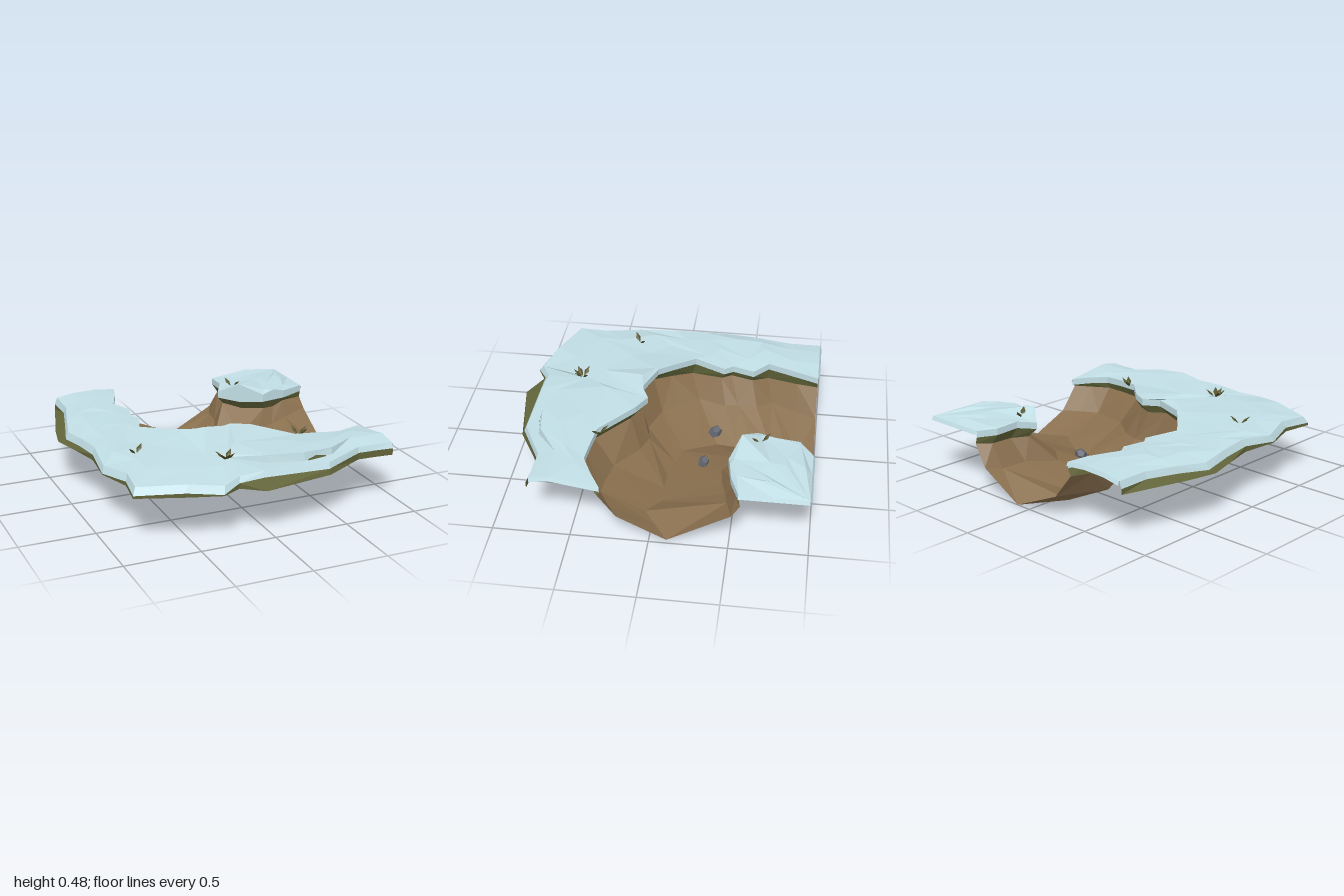
import * as THREE from 'three';

const mat = (name, color) => new THREE.MeshStandardMaterial({ name, color, flatShading: true, side: THREE.DoubleSide });
const snow = mat('snow', 0xc0dde4);
const grass = mat('grass', 0x62653a);
const dirt = mat('dirt', 0x886e4d);
const stone = mat('stone', 0x62666f);
const leafMat = mat('leaf', 0x55522b);

// Points are [x, y, z]
const mix = (a, b, t) => a.map((v, i) => v + (b[i] - v) * t);
const lift = (p, y) => [p[0], y, p[2]];

// Faceted sheet through rows of points, with alternating diagonals
function sheet(name, material, rows) {
  const pos = [];
  for (let r = 0; r < rows.length - 1; r++) {
    for (let i = 0; i < rows[r].length - 1; i++) {
      const a = rows[r][i], b = rows[r][i + 1], c = rows[r + 1][i + 1], d = rows[r + 1][i];
      const tris = (r + i) % 2 ? [a, b, c, a, c, d] : [a, b, d, b, c, d];
      tris.forEach((p) => pos.push(...p));
    }
  }
  const g = new THREE.BufferGeometry();
  g.setAttribute('position', new THREE.Float32BufferAttribute(pos, 3));
  g.computeVertexNormals();
  const m = new THREE.Mesh(g, material);
  m.name = name;
  return m;
}

// Outer and inner edges of the bank, paired station by station
const outer = [
  [-0.8, 0.4, -0.988], [-0.8, 0.4, -0.77], [-0.86, 0.39, -0.55], [-0.92, 0.37, -0.34], [-0.89, 0.39, -0.13],
  [-0.87, 0.4, 0.08], [-0.895, 0.37, 0.34], [-0.82, 0.39, 0.57], [-0.85, 0.38, 0.78], [-0.55, 0.39, 0.89],
  [-0.33, 0.37, 0.96], [-0.2, 0.39, 0.89], [-0.03, 0.4, 0.89], [0.42, 0.39, 0.9], [0.71, 0.4, 0.755],
  [0.84, 0.4, 0.76], [0.958, 0.4, 0.77]];
const inner = [
  [-0.35, 0.41, -0.988], [-0.39, 0.42, -0.85], [-0.47, 0.42, -0.645], [-0.39, 0.4, -0.545], [-0.43, 0.405, -0.4],
  [-0.39, 0.405, -0.34], [-0.47, 0.42, -0.13], [-0.36, 0.435, 0], [-0.26, 0.45, 0.105], [-0.035, 0.455, 0.185],
  [0.08, 0.45, 0.13], [0.2, 0.45, 0.195], [0.425, 0.42, 0.41], [0.58, 0.415, 0.43], [0.725, 0.405, 0.445],
  [0.85, 0.39, 0.38], [0.958, 0.37, 0.31]];
// Height where the bank's grass meets the dirt
const grassLine = [0.32, 0.31, 0.29, 0.31, 0.315, 0.315, 0.285, 0.32, 0.345, 0.36, 0.35, 0.345, 0.32, 0.32, 0.32, 0.315, 0.315];

// Foot of the bank, foot and rim of the corner mound
const toe = [
  [0.11, 0, -1], [-0.13, 0.035, -0.78], [-0.025, 0, -0.6], [-0.055, 0, -0.33], [0.07, 0.02, -0.11],
  [0.32, 0, -0.03], [0.6, 0, -0.03], [0.75, 0.035, 0.055], [0.97, 0, -0.11]];
const moundFoot = [
  [0.42, 0.17, -1], [0.37, 0.15, -0.89], [0.34, 0.16, -0.72], [0.25, 0.13, -0.51], [0.39, 0.13, -0.4],
  [0.55, 0.15, -0.42], [0.68, 0.17, -0.45], [0.8, 0.2, -0.47], [0.97, 0.235, -0.51]];
const moundRim = [
  [0.505, 0.4, -0.988], [0.4, 0.42, -0.9], [0.39, 0.43, -0.74], [0.325, 0.41, -0.625], [0.45, 0.48, -0.53],
  [0.61, 0.4, -0.46], [0.7, 0.425, -0.475], [0.79, 0.4, -0.49], [0.958, 0.4, -0.55]];

// Narrow bevel dropping from a cut snow edge out to the tile border
function borderBevel(name, top, dx, dz) {
  return sheet(name, snow, [top, top.map(([x, y, z]) => [x + dx, y - 0.025, z + dz])]);
}

function buildBank(group) {
  const last = outer.length - 1;
  const rimTop = outer.map((p, i) => mix(p, lift(inner[i], p[1]), 0.04));
  const rimLow = outer.map((p, i) => lift(p, p[1] - (i > 10 ? 0.037 : 0.045)));
  // Grass skirt flares beyond the snow on the side and at the front tip
  const flare = { 1: [-0.07, 0.02], 2: [-0.07, 0], 3: [-0.055, 0], 4: [-0.03, 0], 12: [-0.03, 0.105], 13: [0, 0.015] };
  const skirt = rimLow.map((p, i) => {
    const [dx, dz] = flare[i] || [0, 0];
    return [p[0] + dx, 0.318, p[2] + dz];
  });
  // Snow ledge running along the front, hollow to its left
  const ledge = { 11: [-0.15, 0.42, 0.57], 12: [0.06, 0.445, 0.74], 13: [0.29, 0.45, 0.8], 14: [0.5, 0.44, 0.77], 15: [0.71, 0.425, 0.63] };
  const stepHigh = outer.map((p, i) => ledge[i] || lift(mix(p, inner[i], 0.3), i > 3 && i < 11 ? 0.407 : 0.42));
  const stepLow = stepHigh.map((p, i) => (i > 10 && i < 15 ? [p[0], i === 11 ? 0.405 : 0.395, p[2] + 0.012] : p));
  const middle = stepHigh.map((p, i) => {
    const q = mix(p, inner[i], 0.5 + 0.15 * Math.sin(i * 2.7));
    return i === last ? q : lift(q, q[1] + (i > 5 && i < 11 ? -0.01 : 0.01));
  });
  // A raised drift at the inside of the bend
  const crest = inner.map((p, i) => (i === 9 ? [-0.14, 0.48, 0.2] : mix(p, middle[i], 0.12)));
  const innerLow = inner.map((p) => lift(p, p[1] - 0.045));
  const bankFoot = inner.map((p, i) => lift(mix(p, outer[i], 0.05), grassLine[i]));
  group.add(sheet('bankSnow', snow, [rimLow, rimTop, stepLow, stepHigh, middle, crest, inner, innerLow]));
  group.add(sheet('outerGrass', grass, [rimLow, skirt]));
  group.add(sheet('innerGrass', grass, [innerLow, bankFoot]));
  const section = (i) => [rimTop, stepHigh, middle, crest, inner].map((r) => r[i]);
  group.add(borderBevel('bankBackEdge', section(0), 0, -0.012));
  group.add(borderBevel('bankSideEdge', section(last), 0.012, 0));

  // Sliver of bare grass on the ledge face
  const face = (t, drop) => {
    const p = mix(mix(stepHigh[13], stepHigh[14], t), mix(stepLow[13], stepLow[14], t), drop);
    return [p[0], p[1], p[2] + 0.006];
  };
  group.add(sheet('ledgeGrass', grass, [[face(0.1, 0.85), face(0.4, 0.55), face(0.75, 0.8)], [face(0.1, 1), face(0.4, 1), face(0.75, 1)]]));

  // Sloping dirt from the grass down to the river bed
  const toeFine = inner.map((_, i) => mix(toe[i >> 1], toe[Math.min((i >> 1) + 1, 8)], (i % 2) / 2));
  const slope = bankFoot.map((p, i) => lift(mix(p, toeFine[i], 0.28), 0.15));
  group.add(sheet('bankSlope', dirt, [bankFoot, slope, toeFine]));
}

function buildMound(group) {
  const corner = [0.958, 0.4, -0.988];
  const top = moundRim.map((p, i) => {
    const q = mix(p, corner, 0.07);
    return i % 8 ? lift(q, Math.max(q[1], 0.425)) : q;
  });
  const ring = moundRim.map((p, i) => {
    const q = mix(p, corner, 0.45 + 0.12 * Math.sin(i * 2.4));
    return i % 8 ? lift(q, 0.435 + 0.008 * Math.sin(i * 2.1)) : q;
  });
  const low = moundRim.map((p, i) => lift(p, i > 3 && i < 8 ? 0.345 : p[1] - 0.045));
  const foot = moundRim.map((p, i) => lift(mix(p, corner, i % 8 ? 0.08 : 0.03), i > 3 && i < 7 ? 0.28 : 0.31));
  group.add(sheet('moundSnow', snow, [low, moundRim, top, ring, moundRim.map(() => corner)]));
  group.add(borderBevel('moundBackEdge', [moundRim[0], corner], 0, -0.012));
  group.add(borderBevel('moundSideEdge', [corner, moundRim[8]], 0.012, 0));
  group.add(sheet('moundGrass', grass, [low, foot]));
  group.add(sheet('moundSlope', dirt, [foot, moundFoot]));
  group.add(sheet('riverBed', dirt, [moundFoot, toe]));
}

// Small faceted river stones
function addStone(group, x, y, z, r, turn) {
  const m = new THREE.Mesh(new THREE.DodecahedronGeometry(r), stone);
  m.name = 'riverStone';
  m.position.set(x, y, z);
  m.scale.set(1, 0.75, 1);
  m.rotation.set(turn, turn * 2, 0.2);
  group.add(m);
}

// Tuft of broad pointed leaves leaning outwards
function addTuft(group, x, y, z, angles, spread) {
  const tuft = new THREE.Group();
  tuft.name = 'leafTuft';
  tuft.position.set(x, y, z);
  angles.forEach((a) => {
    const pivot = new THREE.Group();
    pivot.rotation.y = a;
    const leaf = new THREE.Mesh(new THREE.OctahedronGeometry(1), leafMat);
    leaf.name = 'leaf';
    leaf.scale.set(0.008, 0.04, 0.018);
    leaf.position.set(spread, 0.026, 0);
    leaf.rotation.z = -0.85;
    pivot.add(leaf);
    tuft.add(pivot);
  });
  group.add(tuft);
}

export function createModel() {
  const group = new THREE.Group();
  group.name = 'snowyRiverBend';
  buildBank(group);
  buildMound(group);
  addStone(group, -0.12, 0.06, -0.31, 0.052, 0.5);
  addStone(group, 0.28, 0.1, -0.27, 0.048, 1.1);
  addTuft(group, -0.65, 0.405, 0.29, [0.6, 3.7], 0.036);
  addTuft(group, -0.17, 0.408, 0.615, [0.6, 2.6, 3.9, 4.7, 5.4], 0.036);
  addTuft(group, 0.455, 0.405, 0.395, [0.1, 2.0, 5.6], 0.034);
  addTuft(group, 0.445, 0.43, -0.65, [2.0, 5.3], 0.038);
  return group;
}
